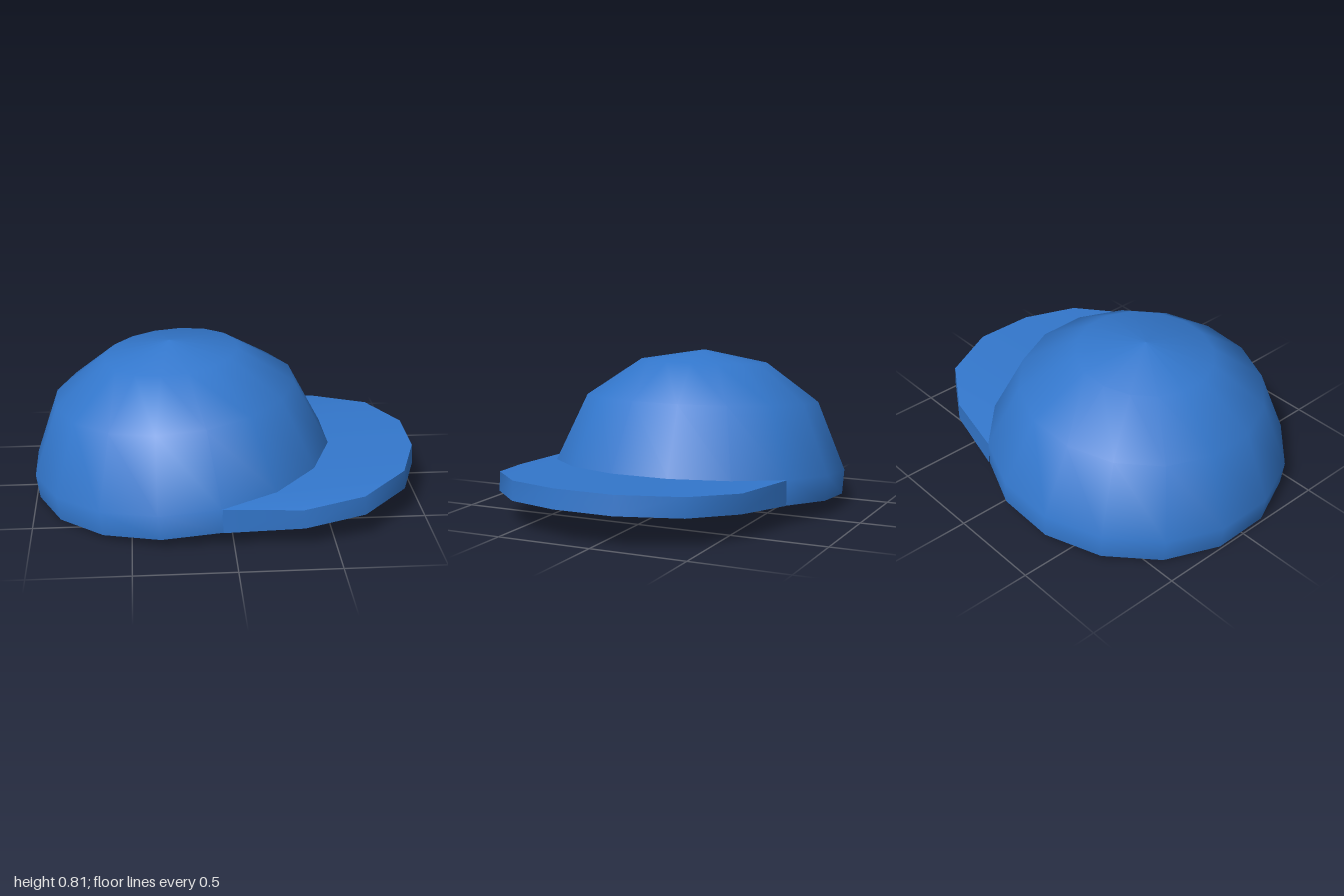
import * as THREE from 'three';
import { toCreasedNormals } from 'three/addons/utils/BufferGeometryUtils.js';

const STEP = Math.PI / 8; // the crown has sixteen sides

export function createModel() {
  const model = new THREE.Group();
  model.name = 'cap';
  const blue = new THREE.MeshStandardMaterial({ color: 0x3377cc });
  blue.name = 'capBlue';

  // Everything sits on one plane, tipped up towards the peak
  const tilted = new THREE.Group();
  tilted.name = 'tiltedCap';
  tilted.position.set(-0.22, 0.07, -0.015);
  tilted.rotation.set(0, 0.018, 0.083);
  model.add(tilted);

  const add = (geometry, name) => {
    const mesh = new THREE.Mesh(geometry, blue);
    mesh.name = name;
    tilted.add(mesh);
  };

  // Crown: smooth faceted dome
  const profile = [[0.783, 0], [0.79, 0.13], [0.634, 0.486], [0.352, 0.682], [0, 0.745]]
    .map(([r, y]) => new THREE.Vector2(r, y));
  add(new THREE.LatheGeometry(profile, 16, STEP / 2), 'crown');

  // Peak: joins seven crown corners to seven outer corners
  const rim = (i, r) => {
    const a = (3.5 - i) * STEP;
    return [r * Math.cos(a), r * Math.sin(a)];
  };
  const outer = [[0.548, 0.82], [0.859, 0.751], [1.103, 0.525], [1.208, 0.237],
    [1.216, -0.083], [1.08, -0.386], [0.813, -0.561]];
  const at = ([x, z], y) => [x, y, z];
  const verts = [];
  const quad = (a, b, c, d) => verts.push(...a, ...b, ...c, ...a, ...c, ...d);
  for (let i = 0; i < 6; i++) {
    quad(at(rim(i, 0.79), 0.13), at(outer[i], 0.1), at(outer[i + 1], 0.1), at(rim(i + 1, 0.79), 0.13));
  }
  // Outer wall, including both ends that run into the crown
  const wall = [rim(0, 0.787), ...outer, rim(6, 0.787)];
  const topY = (i) => (i === 0 || i === wall.length - 1 ? 0.13 : 0.1);
  for (let i = 0; i < wall.length - 1; i++) {
    quad(at(wall[i], 0), at(wall[i + 1], 0), at(wall[i + 1], topY(i + 1)), at(wall[i], topY(i)));
  }
  const peak = new THREE.BufferGeometry();
  peak.setAttribute('position', new THREE.Float32BufferAttribute(verts, 3));
  add(toCreasedNormals(peak, 0.6), 'peak');

  // Flat underside closing crown and peak together
  const outline = [...wall];
  for (let i = 7; i < 16; i++) outline.push(rim(i, 0.783));
  const base = new THREE.ShapeGeometry(new THREE.Shape(outline.map((p) => new THREE.Vector2(...p))));
  base.rotateX(Math.PI / 2);
  add(base, 'underside');

  return model;
}
